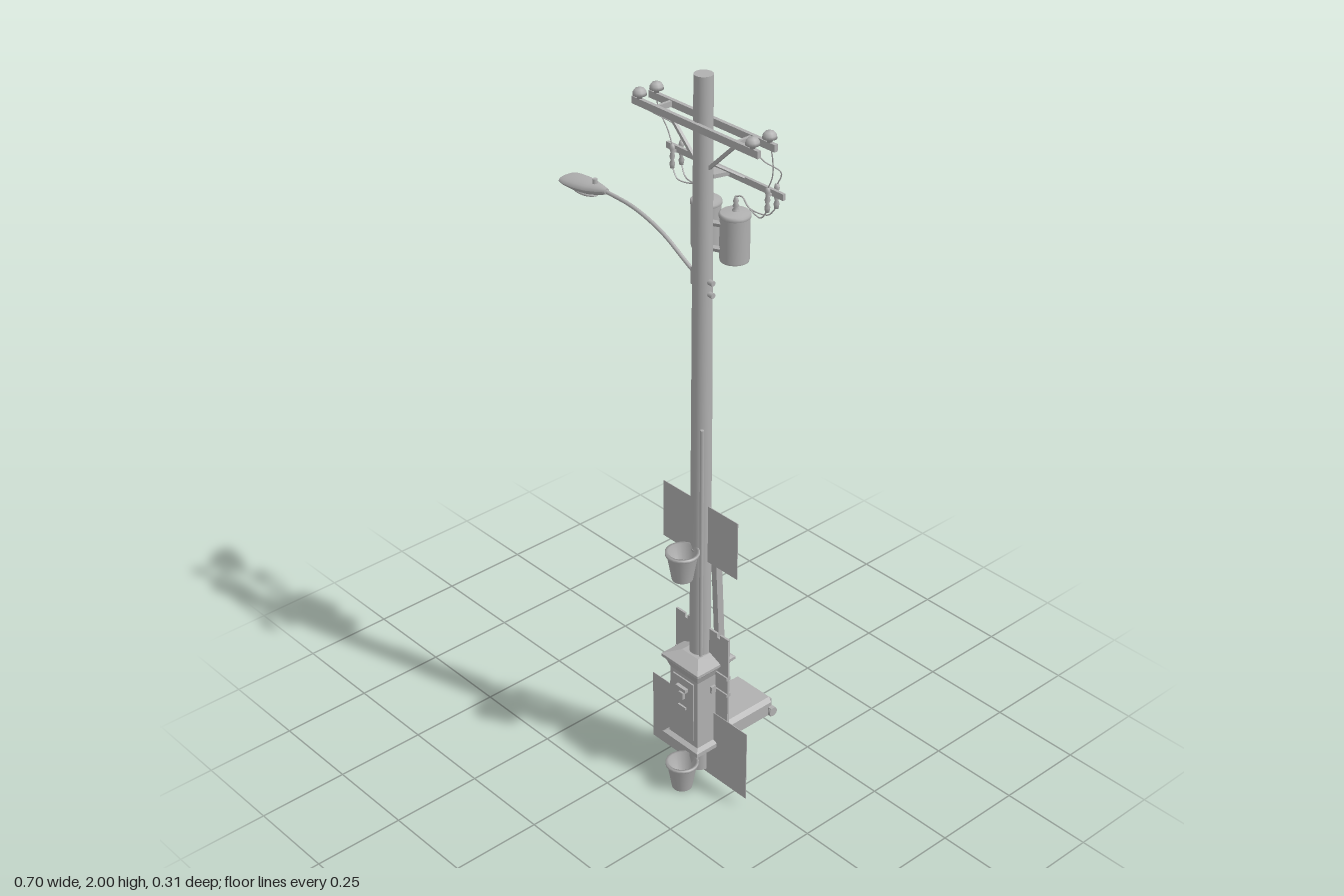
import * as THREE from 'three';

const grey = new THREE.MeshStandardMaterial({ color: 0xb0b0b0 });
grey.name = 'grey';
const greySheet = new THREE.MeshStandardMaterial({ color: 0xb0b0b0, side: THREE.DoubleSide });
greySheet.name = 'grey sheet';

const PX = 0.14, PZ = 0.047; // pole axis
const V = (x, y, z) => new THREE.Vector3(x, y, z);

export function createModel() {
  const root = new THREE.Group();
  root.name = 'utilityPole';

  const add = (name, geo, x = 0, y = 0, z = 0, mat = grey) => {
    const m = new THREE.Mesh(geo, mat);
    m.name = name;
    m.position.set(x, y, z);
    root.add(m);
    return m;
  };
  // box from its limits
  const box = (name, x0, x1, y0, y1, z0, z1) =>
    add(name, new THREE.BoxGeometry(x1 - x0, y1 - y0, z1 - z0), (x0 + x1) / 2, (y0 + y1) / 2, (z0 + z1) / 2);
  const cyl = (name, rTop, rBottom, y0, y1, x, z, sides = 16) =>
    add(name, new THREE.CylinderGeometry(rTop, rBottom, y1 - y0, sides), x, (y0 + y1) / 2, z);
  const lathe = (name, pts, x, y, z, sides = 20, mat = grey) =>
    add(name, new THREE.LatheGeometry(pts.map(p => new THREE.Vector2(...p)), sides), x, y, z, mat);
  const tube = (name, pts, r, seg = 20, sides = 6) =>
    add(name, new THREE.TubeGeometry(new THREE.CatmullRomCurve3(pts), seg, r, sides));
  // straight bar of rectangular section between two points
  const bar = (name, a, b, w, d) => {
    const m = add(name, new THREE.BoxGeometry(w, a.distanceTo(b), d));
    m.position.copy(a).add(b).multiplyScalar(0.5);
    m.quaternion.setFromUnitVectors(V(0, 1, 0), b.clone().sub(a).normalize());
    return m;
  };

  // pole and conduits
  cyl('pole', 0.023, 0.029, 0.04, 2, PX, PZ, 20);
  cyl('backConduit', 0.007, 0.007, 0.05, 1.235, PX, 0.021, 8);
  cyl('sideConduit', 0.005, 0.005, 0.4, 1.09, 0.163, 0.066, 8);

  // twin upper crossarms with spacers and braces
  for (const z of [0.021, 0.073]) box('upperCrossarm', -0.07, 0.348, 1.871, 1.889, z - 0.005, z + 0.005);
  for (const s of [-1, 1]) {
    const x = PX + s * 0.133;
    box('crossarmSpacer', x - 0.004, x + 0.004, 1.873, 1.887, 0.021, 0.073);
    bar('crossarmBrace', V(PX + s * 0.122, 1.875, PZ), V(PX + s * 0.012, 1.768, PZ), 0.008, 0.008);
  }

  // lower crossarm and its bracket
  box('lowerCrossarm', -0.054, 0.338, 1.737, 1.753, -0.022, -0.014);
  const plate = new THREE.Shape([[-0.025, 0.01], [0.025, 0.01], [0.012, -0.034], [-0.012, -0.034]]
    .map(p => new THREE.Vector2(...p)));
  const bracket = add('lowerArmBracket', new THREE.ExtrudeGeometry(plate, { depth: 0.01, bevelEnabled: false }), PX, 1.75, -0.01);
  bracket.rotation.x = Math.PI / 2;
  bracket.scale.y = -1;
  bracket.material = greySheet;
  for (const s of [-1, 1])
    bar('lowerArmBrace', V(PX + s * 0.075, 1.752, -0.012), V(PX + s * 0.012, 1.775, 0.024), 0.005, 0.005);

  // insulators, cutouts, transformers and wires, mirrored about the pole
  for (const s of [-1, 1]) {
    const insX = PX + s * 0.187, cutX = PX + s * 0.16, canX = PX + s * 0.049;
    for (const [insZ, cutZ] of [[0.021, -0.003], [0.073, -0.032]]) {
      lathe('insulator', [[0, 0], [0.006, 0], [0.006, 0.008], [0.017, 0.01], [0.016, 0.018],
        [0.011, 0.025], [0, 0.028]], insX, 1.888, insZ, 16);
      lathe('cutout', [[0, -0.05], [0.005, -0.05], [0.007, -0.038], [0.004, -0.03], [0.007, -0.02],
        [0.004, -0.01], [0.007, 0], [0.005, 0.01], [0, 0.012]], cutX, 1.75, cutZ, 10);
      tube('dropWire', [V(insX, 1.888, insZ), V(insX + s * 0.003, 1.85, insZ * 0.7 + cutZ * 0.3),
        V(cutX + s * 0.014, 1.79, cutZ), V(cutX, 1.758, cutZ)], 0.0016, 16, 5);
      tube('transformerWire', [V(cutX, 1.702, cutZ), V(cutX - s * 0.02, 1.678, cutZ * 0.8),
        V(canX + s * 0.04, 1.682, -0.014), V(canX + s * 0.02, 1.703, -0.012), V(canX, 1.698, -0.011)], 0.0018, 20, 5);
    }
    box('cutoutMount', cutX - 0.003, cutX + 0.003, 1.738, 1.744, -0.034, 0);
    lathe('transformer', [[0, 0], [0.035, 0], [0.035, 0], [0.036, 0.004], [0.036, 0.112], [0.038, 0.112],
      [0.038, 0.119], [0.034, 0.123], [0, 0.126]], canX, 1.536, -0.009, 24);
    lathe('bushing', [[0.009, 0], [0.009, 0.006], [0.005, 0.01], [0.008, 0.016], [0.005, 0.022],
      [0.007, 0.028], [0.003, 0.04], [0, 0.042]], canX, 1.658, -0.011, 10);
    for (const y of [1.565, 1.63])
      bar('transformerBracket', V(canX - s * 0.01, y, 0.015), V(PX, y, 0.035), 0.012, 0.01);
  }

  // street lamp arm and bolts
  tube('lampArm', [V(0.14, 1.478, PZ), V(0.08, 1.511, PZ), V(0, 1.555, PZ), V(-0.1, 1.584, PZ), V(-0.21, 1.591, PZ)], 0.005, 28, 8);
  box('lampArmClamp', 0.108, 0.13, 1.465, 1.51, PZ - 0.009, PZ + 0.009);
  for (const y of [1.455, 1.487]) {
    const bolt = cyl('armBolt', 0.007, 0.007, y - 0.008, y + 0.008, 0.17, PZ, 8);
    bolt.rotation.z = Math.PI / 2;
  }

  // lamp head swept through elliptical stations: x, half width, top, bottom
  const st = [[-0.2, 0.007, 1.599, 1.584], [-0.225, 0.016, 1.6, 1.574], [-0.255, 0.026, 1.599, 1.567],
    [-0.29, 0.033, 1.597, 1.565], [-0.325, 0.034, 1.592, 1.567], [-0.345, 0.031, 1.588, 1.572], [-0.35, 0.024, 1.586, 1.576]];
  const head = new THREE.CylinderGeometry(1, 1, 1, 20, st.length - 1);
  const p = head.attributes.position;
  for (let i = 0; i < p.count; i++) {
    const [x, w, top, bot] = st[Math.round((p.getY(i) + 0.5) * (st.length - 1))];
    p.setXYZ(i, x, (top + bot) / 2 + p.getX(i) * (top - bot) / 2, PZ + p.getZ(i) * w);
  }
  head.computeVertexNormals();
  add('lampHead', head);
  const lens = add('lampLens', new THREE.SphereGeometry(1, 16, 10), -0.278, 1.568, PZ);
  lens.scale.set(0.042, 0.008, 0.024);
  cyl('photocell', 0.006, 0.007, 1.597, 1.611, -0.243, PZ, 12);

  // sign boards
  box('upperSign', 0.002, 0.273, 0.7, 0.865, PZ - 0.001, PZ + 0.001);
  box('lowerSign', -0.042, 0.318, 0.03, 0.24, PZ - 0.001, PZ + 0.001);

  // notched back panel with rails
  const x0 = 0.04, x1 = 0.237;
  const outline = [[x0, 0.22], [x1, 0.22], [x1, 0.49], [0.206, 0.49], [0.206, 0.478], [0.196, 0.478], [0.196, 0.49],
    [0.084, 0.49], [0.084, 0.478], [0.074, 0.478], [0.074, 0.49], [x0, 0.49]];
  add('backPanel', new THREE.ExtrudeGeometry(new THREE.Shape(outline.map(q => new THREE.Vector2(...q))),
    { depth: 0.006, bevelEnabled: false }), 0, 0, 0.034);
  for (const y of [0.315, 0.368]) box('panelRail', x0, x1, y - 0.005, y + 0.005, 0.03, 0.044);

  // cabinet round the pole: four sided profile scaled to its depth
  const r2 = Math.SQRT2;
  const cabinet = new THREE.LatheGeometry([[0, 0.135], [0.067, 0.135], [0.067, 0.147], [0.054, 0.153], [0.052, 0.36],
    [0.06, 0.382], [0.069, 0.392], [0.069, 0.4], [0.03, 0.416], [0, 0.416]]
    .map(([r, y]) => new THREE.Vector2(r * r2, y)), 4).toNonIndexed();
  cabinet.rotateY(Math.PI / 4);
  cabinet.computeVertexNormals();
  const cab = add('cabinet', cabinet, PX, 0, 0.053);
  cab.scale.z = 0.96;
  box('cabinetDoor', 0.101, 0.179, 0.17, 0.35, 0.1, 0.107);
  box('doorHandle', 0.122, 0.16, 0.318, 0.328, 0.1, 0.117);
  box('doorLatch', 0.132, 0.148, 0.29, 0.31, 0.1, 0.115);
  box('doorSlot', 0.126, 0.154, 0.258, 0.265, 0.1, 0.112);
  for (const s of [-1, 1]) {
    const x = PX + s * 0.054;
    box('sideLatch', x - 0.005, x + 0.005, 0.31, 0.33, 0.045, 0.06);
  }

  // bevelled tray behind the pole, with end pegs
  const tray = new THREE.Shape([[-0.07, 0], [0.07, 0], [0.07, 0.038], [0.06, 0.05], [-0.06, 0.05], [-0.07, 0.038]]
    .map(q => new THREE.Vector2(...q)));
  add('tray', new THREE.ExtrudeGeometry(tray, { depth: 0.19, bevelEnabled: false }), PX, 0.145, -0.147);
  box('trayLip', 0.08, 0.2, 0.148, 0.185, -0.157, -0.147);
  for (const s of [-1, 1]) {
    const x = PX + s * 0.075;
    box('trayPeg', x - 0.006, x + 0.006, 0.147, 0.172, -0.15, -0.135);
    const knob = cyl('trayKnob', 0.013, 0.013, 0.156, 0.164, PX + s * 0.079, -0.143, 12);
    knob.rotation.z = Math.PI / 2;
  }

  // leaning support and its wall brackets
  bar('leaningSupport', V(PX, 0.77, -0.003), V(PX, 0.19, -0.032), 0.018, 0.02);
  for (const y of [0.72, 0.81]) box('supportBracket', PX - 0.006, PX + 0.006, y - 0.004, y + 0.004, -0.003, 0.03);

  // flower buckets on the front
  for (const y of [0, 0.665]) {
    lathe('bucket', [[0, 0.004], [0.026, 0.004], [0.027, 0], [0.039, 0.07], [0.044, 0.073], [0.044, 0.081],
      [0.037, 0.081], [0.026, 0.012], [0, 0.012]], PX, y, 0.109, 20, greySheet);
    box('bucketHook', PX - 0.006, PX + 0.006, y + 0.055, y + 0.07, 0.065, 0.075);
  }
  return root;
}
